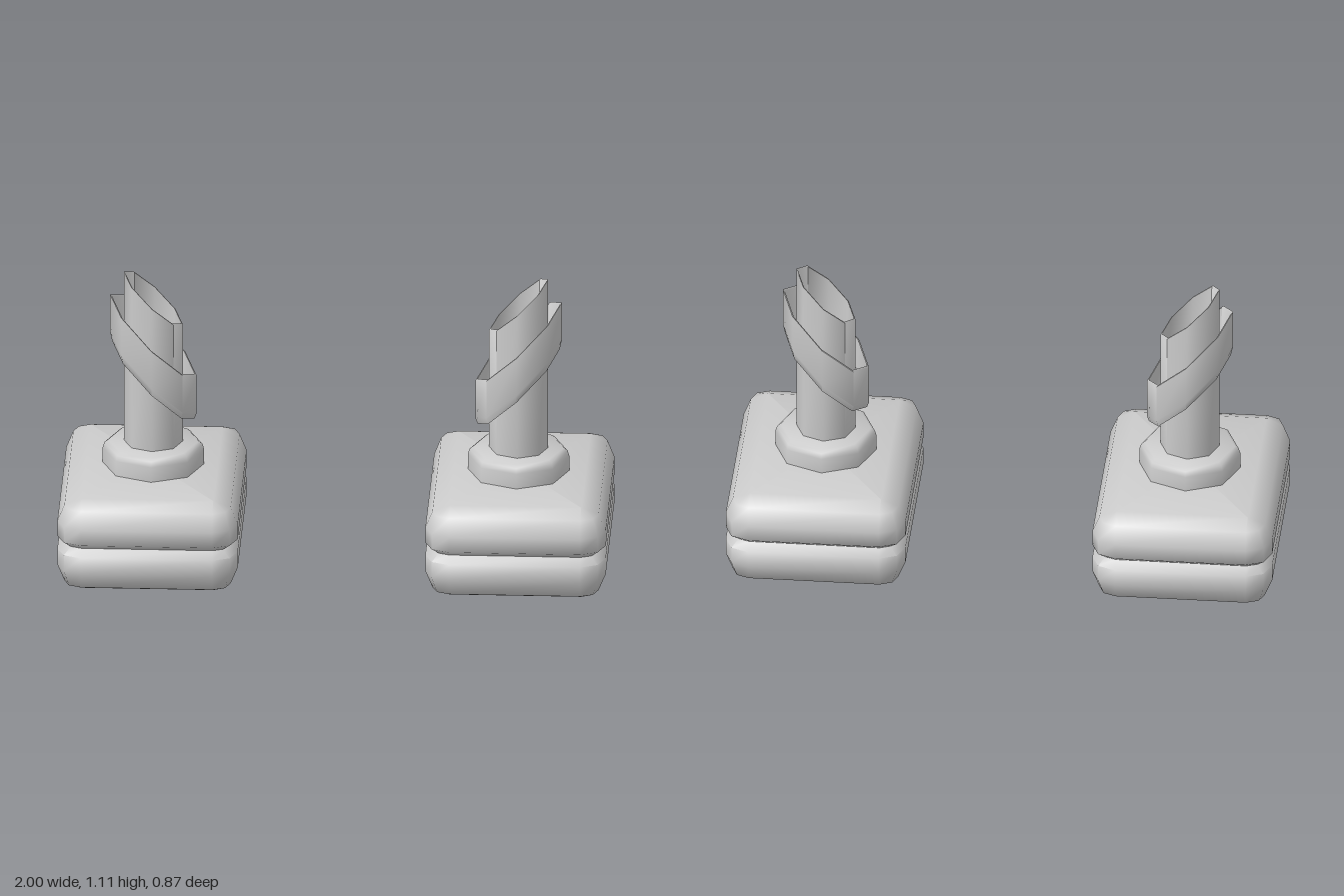
import * as THREE from 'three';
import { toCreasedNormals } from 'three/addons/utils/BufferGeometryUtils.js';

const material = new THREE.MeshStandardMaterial({ color: 0xcccccc, side: THREE.DoubleSide });

// Skin a stack of closed rings (each counterclockwise seen from above).
function loft(name, rings, crease) {
  const n = rings[0].length, index = [];
  for (let i = 0; i < rings.length - 1; i++) {
    for (let j = 0; j < n; j++) {
      const a = i * n + j, b = i * n + (j + 1) % n;
      index.push(a, b, b + n, a, b + n, a + n);
    }
  }
  const geometry = new THREE.BufferGeometry().setFromPoints(rings.flat());
  geometry.setIndex(index);
  const mesh = new THREE.Mesh(toCreasedNormals(geometry, THREE.MathUtils.degToRad(crease)), material);
  mesh.name = name;
  return mesh;
}

// Eight-sided ring, optionally tilted along x.
function octagon(r, y, slope = 0) {
  return Array.from({ length: 8 }, (_, i) => {
    const a = i * Math.PI / 4, x = r * Math.cos(a);
    return new THREE.Vector3(x, y + slope * x, -r * Math.sin(a));
  });
}

// Rectangle with two-segment rounded corners, shrunk by an inset.
function roundedRect(halfX, halfZ, radius, inset, y) {
  const r = Math.max(radius - inset, 0.002), points = [];
  [[1, 1], [-1, 1], [-1, -1], [1, -1]].forEach(([sx, sz], q) => {
    for (let k = 0; k < 3; k++) {
      const a = (q + k / 2) * Math.PI / 2;
      points.push(new THREE.Vector3(
        sx * (halfX - radius) + r * Math.cos(a), y,
        -sz * (halfZ - radius) - r * Math.sin(a)));
    }
  });
  return points;
}

const centre = (y) => Array.from({ length: 12 }, () => new THREE.Vector3(0, y, 0));

function createStand(side) {
  const stand = new THREE.Group();

  // Two stacked cushions separated by a groove: [inset, height]
  const baseProfile = [[0.09, 0], [0.026, 0.027], [0, 0.09], [0, 0.153], [0.035, 0.178],
    [0, 0.203], [0, 0.262], [0.026, 0.326], [0.09, 0.352]];
  const base = loft('base', [
    centre(0),
    ...baseProfile.map(([inset, y]) => roundedRect(0.329, 0.437, 0.09, inset, y)),
    centre(0.352),
  ], 60);
  base.position.x = side * 0.671;

  // Bevelled collar under the post
  const collar = loft('collar', [
    octagon(0.185, 0.34), octagon(0.185, 0.41), octagon(0.179, 0.43),
    octagon(0.165, 0.441), octagon(0, 0.441),
  ], 60);

  // Hollow post, cut obliquely with its high point outward
  const post = loft('post', [
    octagon(0.108, 0.43), octagon(0.108, 1.003, side * 0.95),
    octagon(0.103, 1.003, side * 0.95), octagon(0.1, 0.75, side * 0.95),
    octagon(0, 0.72, side * 0.95),
  ], 60);

  // Oblique cup wrapped around the post
  const sleeveProfile = [[0.107, 0.665], [0.15, 0.68], [0.158, 0.71], [0.158, 0.857],
    [0.151, 0.857], [0.148, 0.73], [0.107, 0.695]];
  const sleeve = loft('sleeve', sleeveProfile.map(([r, y]) => octagon(r, y, side)), 60);

  for (const part of [collar, post, sleeve]) part.position.x = side * 0.666;
  stand.add(base, collar, post, sleeve);
  return stand;
}

export function createModel() {
  const model = new THREE.Group();
  model.name = 'pairOfStands';
  for (const side of [1, -1]) {
    const stand = createStand(side);
    stand.name = side > 0 ? 'leftStand' : 'rightStand';
    model.add(stand);
  }
  return model;
}
